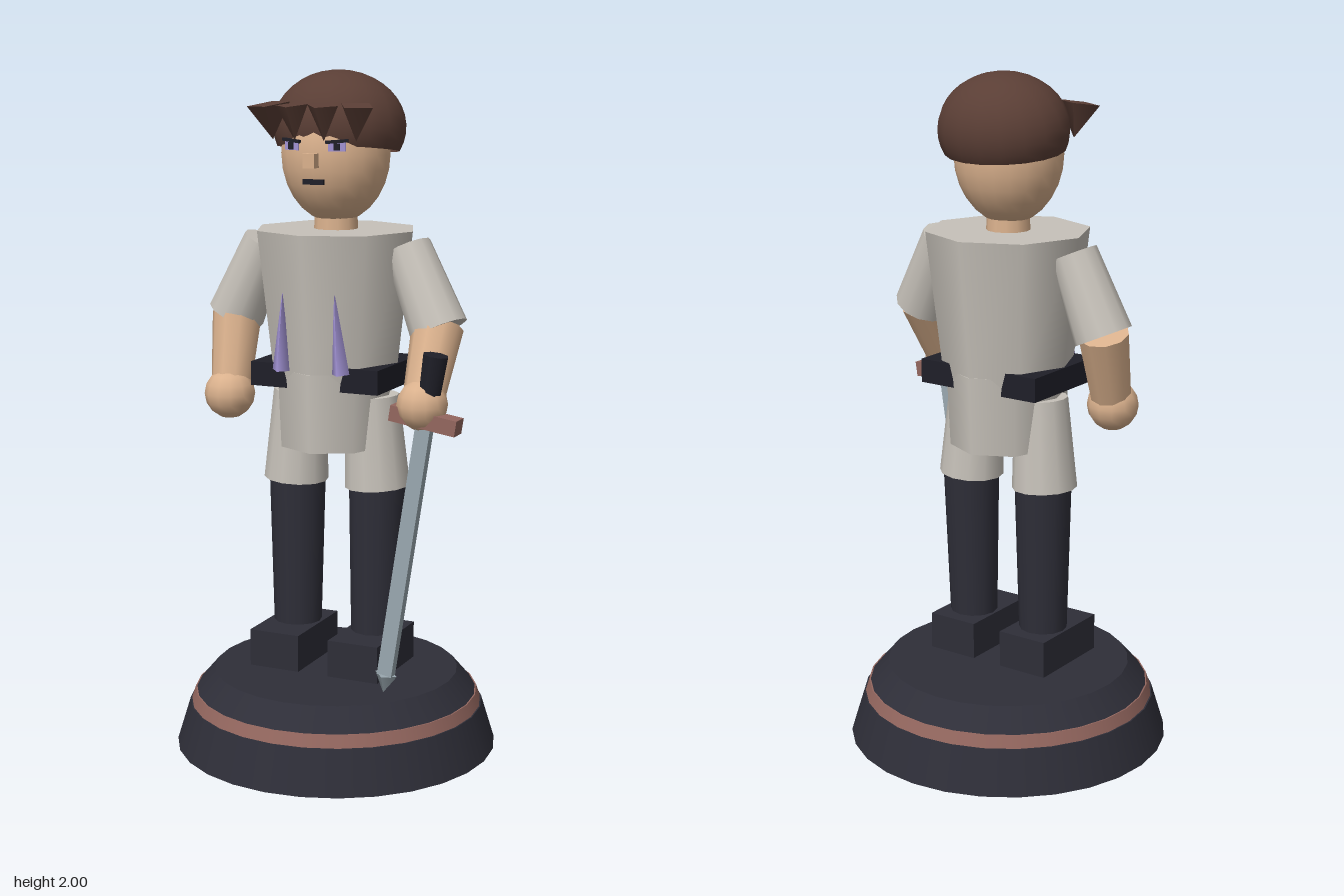
import * as THREE from 'three';

const mat = (name, color, side = THREE.FrontSide) => {
  const m = new THREE.MeshStandardMaterial({ color, side });
  m.name = name;
  return m;
};

export function createModel() {
  const charcoal = mat('charcoal', 0x2e2e38);
  const black = mat('black leather', 0x1f1f28);
  const rose = mat('rose', 0x94675f);
  const linen = mat('linen', 0xc6c1b9);
  const skin = mat('skin', 0xdab18d);
  const brown = mat('brown hair', 0x5a3e35, THREE.DoubleSide);
  const lavender = mat('lavender', 0xa394d6);
  const steel = mat('steel', 0x9aa8b0);

  const model = new THREE.Group();
  model.name = 'swordsman';

  const add = (name, geometry, material, x = 0, y = 0, z = 0, parent = model) => {
    const mesh = new THREE.Mesh(geometry, material);
    mesh.name = name;
    mesh.position.set(x, y, z);
    parent.add(mesh);
    return mesh;
  };
  const box = (name, size, material, x, y, z, parent) =>
    add(name, new THREE.BoxGeometry(...size), material, x, y, z, parent);
  // Upright drum between two heights
  const drum = (name, y0, r0, y1, r1, sides, material) =>
    add(name, new THREE.CylinderGeometry(r1, r0, y1 - y0, sides), material, 0, (y0 + y1) / 2, 0);
  // Tapered limb from point a (top) to point b (bottom)
  const limb = (name, a, b, ra, rb, sides, material) => {
    const top = new THREE.Vector3(...a), bottom = new THREE.Vector3(...b);
    const dir = top.clone().sub(bottom);
    const mesh = add(name, new THREE.CylinderGeometry(ra, rb, dir.length(), sides), material);
    mesh.position.copy(top).add(bottom).multiplyScalar(0.5);
    mesh.quaternion.setFromUnitVectors(new THREE.Vector3(0, 1, 0), dir.normalize());
    return mesh;
  };

  // Plinth
  drum('plinthBottom', 0, 0.48, 0.13, 0.44, 28, charcoal);
  drum('plinthBand', 0.13, 0.436, 0.166, 0.424, 28, rose);
  drum('plinthTop', 0.166, 0.42, 0.23, 0.365, 28, charcoal);

  // Legs
  for (const s of [-1, 1]) {
    box('foot', [0.158, 0.11, 0.275], charcoal, s * 0.127, 0.305, 0.025);
    limb('lowerLeg', [s * 0.13, 0.82, -0.008], [s * 0.127, 0.3, 0], 0.084, 0.07, 12, charcoal);
    limb('breeches', [s * 0.117, 1.07, 0], [s * 0.132, 0.8, -0.003], 0.078, 0.096, 12, linen);
  }

  // Tunic, skirt and belt
  drum('torso', 1.12, 0.19, 1.55, 0.24, 8, linen);
  drum('skirt', 0.92, 0.186, 1.15, 0.197, 8, linen).scale.x = 0.87;
  box('belt', [0.4, 0.07, 0.31], black, 0, 1.135, 0);
  for (const s of [-1, 1]) {
    const lapel = add('lapel', new THREE.ConeGeometry(0.027, 0.245, 4), lavender, s * 0.087, 1.277, 0.179);
    lapel.rotation.set(0.06, 0, s * 0.06);
  }

  // Right arm
  limb('rightSleeve', [-0.225, 1.505, 0], [-0.327, 1.28, 0], 0.068, 0.085, 12, linen);
  limb('rightForearm', [-0.32, 1.285, 0.01], [-0.305, 1.06, 0.085], 0.074, 0.058, 10, skin);
  add('rightHand', new THREE.SphereGeometry(0.075, 12, 8), skin, -0.305, 1.057, 0.09);
  // Left arm, reaching forward to the sword
  limb('leftSleeve', [0.225, 1.505, 0], [0.337, 1.28, 0.035], 0.068, 0.085, 12, linen);
  limb('leftForearm', [0.335, 1.29, 0.04], [0.338, 1.09, 0.155], 0.074, 0.058, 10, skin);
  add('leftHand', new THREE.SphereGeometry(0.073, 12, 8), skin, 0.34, 1.087, 0.163);

  // Sword, tilted about its guard
  const sword = new THREE.Group();
  sword.name = 'sword';
  sword.position.set(0.357, 1.05, 0.177);
  sword.rotation.z = -0.152;
  model.add(sword);
  box('guard', [0.2, 0.045, 0.056], rose, 0, 0, 0, sword);
  add('grip', new THREE.CylinderGeometry(0.037, 0.03, 0.17, 8), black, 0, 0.1, 0, sword);
  box('blade', [0.045, 0.76, 0.03], steel, 0, -0.39, 0, sword);
  const tip = add('bladeTip', new THREE.ConeGeometry(0.034, 0.058, 4), steel, 0, -0.797, 0, sword);
  tip.rotation.x = Math.PI;

  // Head
  drum('neck', 1.53, 0.065, 1.62, 0.06, 12, skin);
  add('head', new THREE.SphereGeometry(1, 20, 14), skin, 0, 1.765, 0.003).scale.set(0.158, 0.198, 0.156);
  box('nose', [0.036, 0.04, 0.035], skin, 0, 1.753, 0.167);
  box('mouth', [0.064, 0.015, 0.009], black, 0, 1.693, 0.152);
  for (const s of [-1, 1]) {
    const eye = new THREE.Group();
    eye.name = 'eye';
    eye.position.set(s * 0.069, 1.792, 0.143);
    eye.rotation.y = s * 0.3;
    model.add(eye);
    box('iris', [0.05, 0.024, 0.009], lavender, 0, 0, 0, eye);
    box('pupil', [0.018, 0.02, 0.009], black, 0, 0, 0.004, eye);
    box('brow', [0.064, 0.009, 0.009], black, 0, 0.015, 0.004, eye).rotation.z = s * 0.08;
  }

  // Hair cap, raised at the front
  const hair = add('hair', new THREE.SphereGeometry(1, 18, 12, 0, Math.PI * 2, 0, Math.PI * 0.63),
    brown, 0, 1.84, -0.022);
  hair.scale.set(0.195, 0.16, 0.175);
  hair.rotation.x = -0.12;
  // Fringe of pointed tufts
  const tufts = [[-0.14, 0.137, 0.062, 0.3], [-0.058, 0.16, 0.048, 0.1], [0.035, 0.16, 0.048, -0.05],
    [0.125, 0.135, 0.056, -0.25]];
  for (const [x, z, r, turn] of tufts) {
    const tuft = add('fringeTuft', new THREE.ConeGeometry(r, 0.1, 4).rotateX(Math.PI).rotateY(turn),
      brown, x, 1.857, z);
    tuft.rotation.set(0.12, 0, -x * 0.6);
    tuft.material = brown;
  }
  return model;
}
